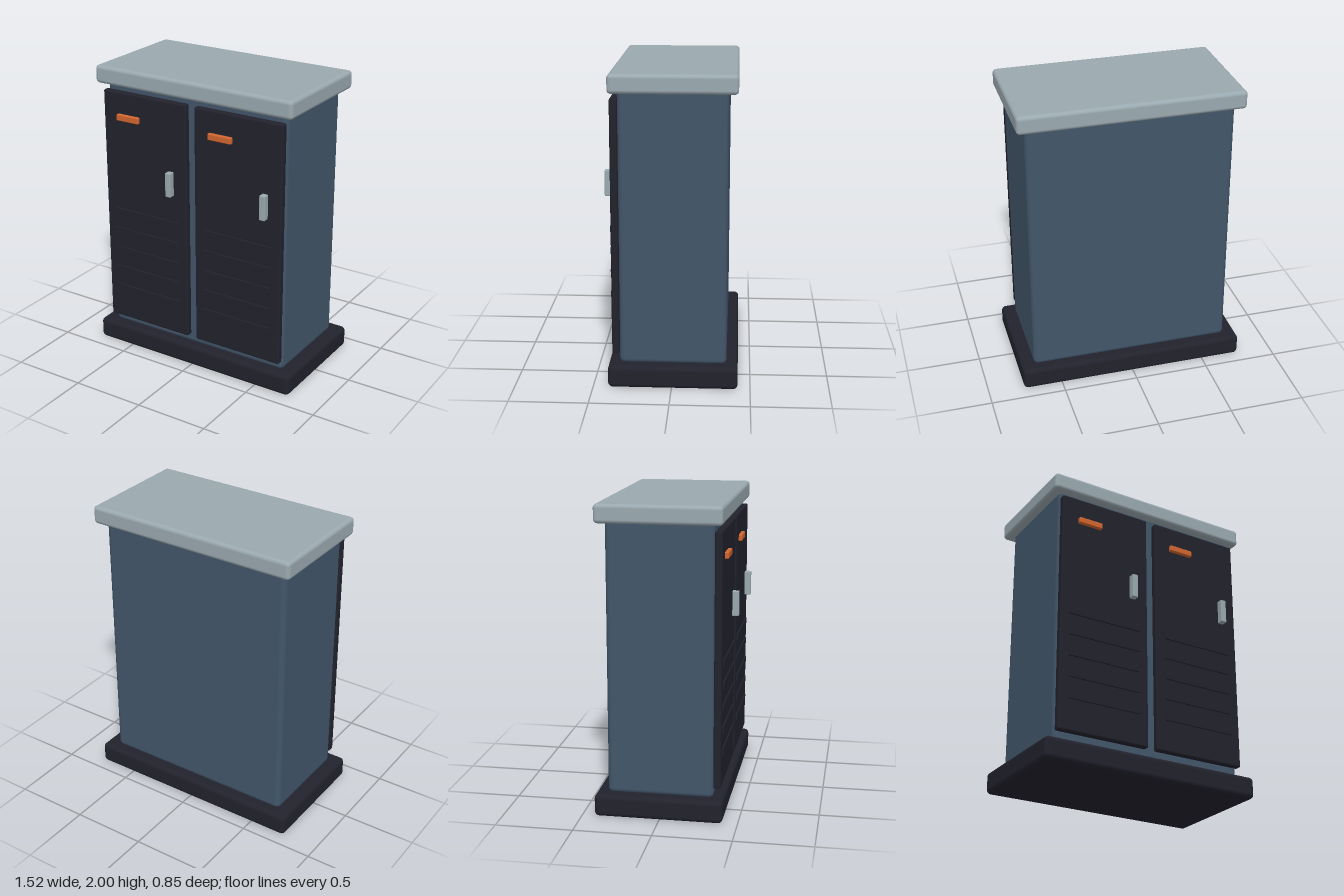
import * as THREE from 'three';
import { RoundedBoxGeometry } from 'three/addons/geometries/RoundedBoxGeometry.js';

function material(name, color) {
  const m = new THREE.MeshStandardMaterial({ color });
  m.name = name;
  return m;
}

export function createModel() {
  const blue = material('slate blue', 0x42566a);
  const dark = material('charcoal', 0x22222d);
  const grey = material('light grey', 0x9aa9b0);
  const orange = material('orange', 0xd2662f);

  // Rounded block given by its extents on each axis
  function block(parent, name, mat, [x0, x1], [y0, y1], [z0, z1], radius) {
    const geometry = new RoundedBoxGeometry(x1 - x0, y1 - y0, z1 - z0, 4, radius);
    const mesh = new THREE.Mesh(geometry, mat);
    mesh.name = name;
    mesh.position.set((x0 + x1) / 2, (y0 + y1) / 2, (z0 + z1) / 2);
    parent.add(mesh);
    return mesh;
  }

  const model = new THREE.Group();
  model.name = 'cabinet';

  // Plinth, housing and overhanging roof
  block(model, 'plinth', dark, [-0.762, 0.762], [0, 0.145], [-0.42, 0.405], 0.03);
  block(model, 'housing', blue, [-0.676, 0.676], [0.132, 1.91], [-0.347, 0.335], 0.035);
  block(model, 'roof', grey, [-0.733, 0.733], [1.88, 2], [-0.405, 0.39], 0.025);

  // Two identical doors, both with the handle on the +x side
  [['rightDoor', -0.353], ['leftDoor', 0.353]].forEach(([name, x]) => {
    const door = new THREE.Group();
    door.name = name;
    door.position.x = x;
    model.add(door);

    block(door, 'doorPanel', dark, [-0.321, 0.321], [0.203, 1.845], [0.335, 0.383], 0.012);
    block(door, 'labelPlate', orange, [-0.207, -0.035], [1.657, 1.7], [0.375, 0.407], 0.007);
    block(door, 'handle', grey, [0.184, 0.225], [1.212, 1.378], [0.38, 0.426], 0.006);

    // Ventilation slats
    for (let i = 0; i < 5; i++) {
      const y = 1.008 - i * 0.1435;
      block(door, 'ventSlat', dark, [-0.257, 0.255], [y - 0.022, y + 0.022], [0.37, 0.392], 0.003);
    }
  });

  return model;
}
